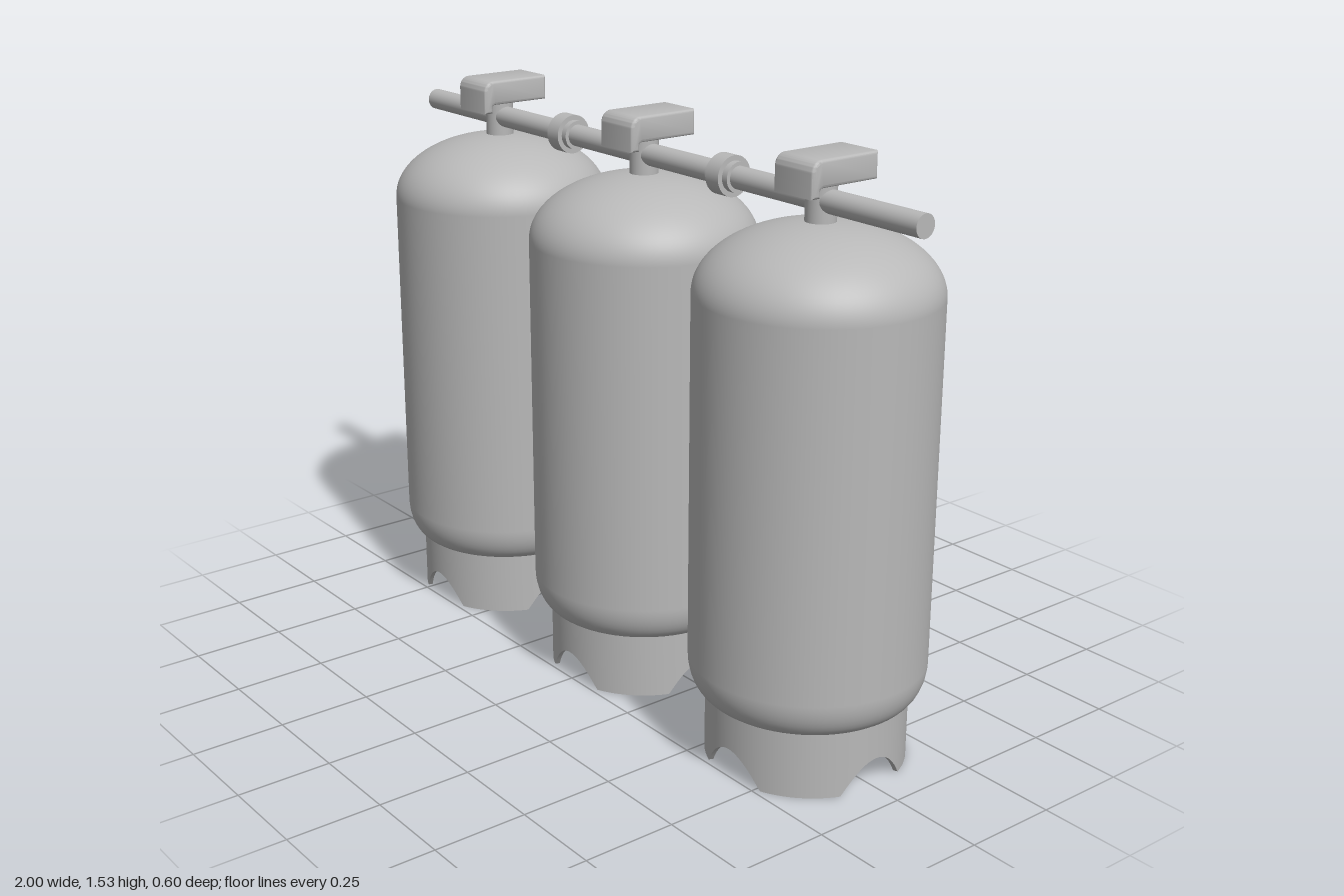
import * as THREE from 'three';
import { toCreasedNormals } from 'three/addons/utils/BufferGeometryUtils.js';

const SPACING = 0.667;
const PIPE_Y = 1.425;

const metal = new THREE.MeshStandardMaterial({ color: 0xb8b8b8 });
metal.name = 'grey metal';

function part(name, geometry, x = 0, y = 0, z = 0) {
  const mesh = new THREE.Mesh(geometry, metal);
  mesh.name = name;
  mesh.position.set(x, y, z);
  return mesh;
}

// Points along a quarter ellipse between two angles
function arc(cx, cy, a, b, from, to, n) {
  return Array.from({ length: n + 1 }, (_, i) => {
    const t = from + (to - from) * (i / n);
    return new THREE.Vector2(Math.max(0, cx + a * Math.cos(t)), cy + b * Math.sin(t));
  });
}

// Cylinder body: flat base, rounded lower edge, elliptical shoulder
function tankGeometry() {
  const profile = [
    new THREE.Vector2(0, 0.17),
    ...arc(0.24, 0.27, 0.06, 0.1, -Math.PI / 2, 0, 10),
    ...arc(0, 1.2, 0.3, 0.175, 0, Math.PI / 2, 24),
  ];
  return new THREE.LatheGeometry(profile, 72);
}

// Foot ring: thin wall with an arch cut in each of four directions
function skirtGeometry() {
  const outer = 0.255, inner = 0.243, top = 0.18;
  const profile = [[outer, 0], [outer, top], [inner, top], [inner, 0], [outer, 0]]
    .map(([r, y]) => new THREE.Vector2(r, y));
  const geo = new THREE.LatheGeometry(profile, 144);
  const pos = geo.attributes.position;
  for (let i = 0; i < pos.count; i++) {
    if (pos.getY(i) > 0.01) continue;
    const angle = Math.atan2(pos.getX(i), pos.getZ(i));
    const quarter = Math.PI / 2;
    const offset = outer * Math.sin(angle - Math.round(angle / quarter) * quarter);
    pos.setY(i, Math.max(0, 0.08 * (1 - (offset / 0.097) ** 2)));
  }
  return toCreasedNormals(geo, 0.8);
}

// Valve handle: flat block with a rounded front edge and a small lip
function handleGeometry() {
  const s = new THREE.Shape();
  s.moveTo(-0.115, 1.468);
  s.lineTo(0.055, 1.468);
  s.quadraticCurveTo(0.064, 1.468, 0.064, 1.459);
  s.lineTo(0.064, 1.445);
  s.lineTo(0.09, 1.445);
  s.lineTo(0.09, 1.505);
  s.absarc(0.06, 1.505, 0.03, 0, Math.PI / 2, false);
  s.lineTo(-0.115, 1.535);
  s.closePath();
  const bevel = 0.008, width = 0.134;
  const geo = new THREE.ExtrudeGeometry(s, {
    depth: width - 2 * bevel, bevelEnabled: true, bevelThickness: bevel,
    bevelSize: bevel, bevelOffset: -bevel, bevelSegments: 3, curveSegments: 8,
  });
  geo.translate(0, 0, -width / 2 + bevel);
  geo.rotateY(-Math.PI / 2);
  return toCreasedNormals(geo, 0.6);
}

// Cylinder lying along x
function barGeometry(radius, length) {
  return new THREE.CylinderGeometry(radius, radius, length, 32).rotateZ(Math.PI / 2);
}

export function createModel() {
  const model = new THREE.Group();
  model.name = 'gasCylinderBank';

  const tank = tankGeometry();
  const skirt = skirtGeometry();
  const neck = new THREE.CylinderGeometry(0.038, 0.038, 0.115, 32);
  const handle = handleGeometry();

  // Three identical cylinders with foot ring and valve
  for (const x of [-SPACING, 0, SPACING]) {
    const unit = new THREE.Group();
    unit.name = 'gasCylinder';
    unit.position.x = x;
    unit.add(
      part('tankBody', tank),
      part('footRing', skirt),
      part('valveNeck', neck, 0, 1.4175),
      part('valveHandle', handle),
    );
    model.add(unit);
  }

  // Shared manifold pipe with a coupling between neighbouring cylinders
  model.add(part('manifoldPipe', barGeometry(0.029, 2), 0, PIPE_Y));
  for (const side of [-1, 1]) {
    const coupling = new THREE.Group();
    coupling.name = 'pipeCoupling';
    coupling.position.set(side * SPACING / 2, PIPE_Y, 0);
    coupling.add(
      part('couplingSleeve', barGeometry(0.039, 0.084)),
      part('couplingCollar', barGeometry(0.052, 0.048)),
    );
    model.add(coupling);
  }
  return model;
}
